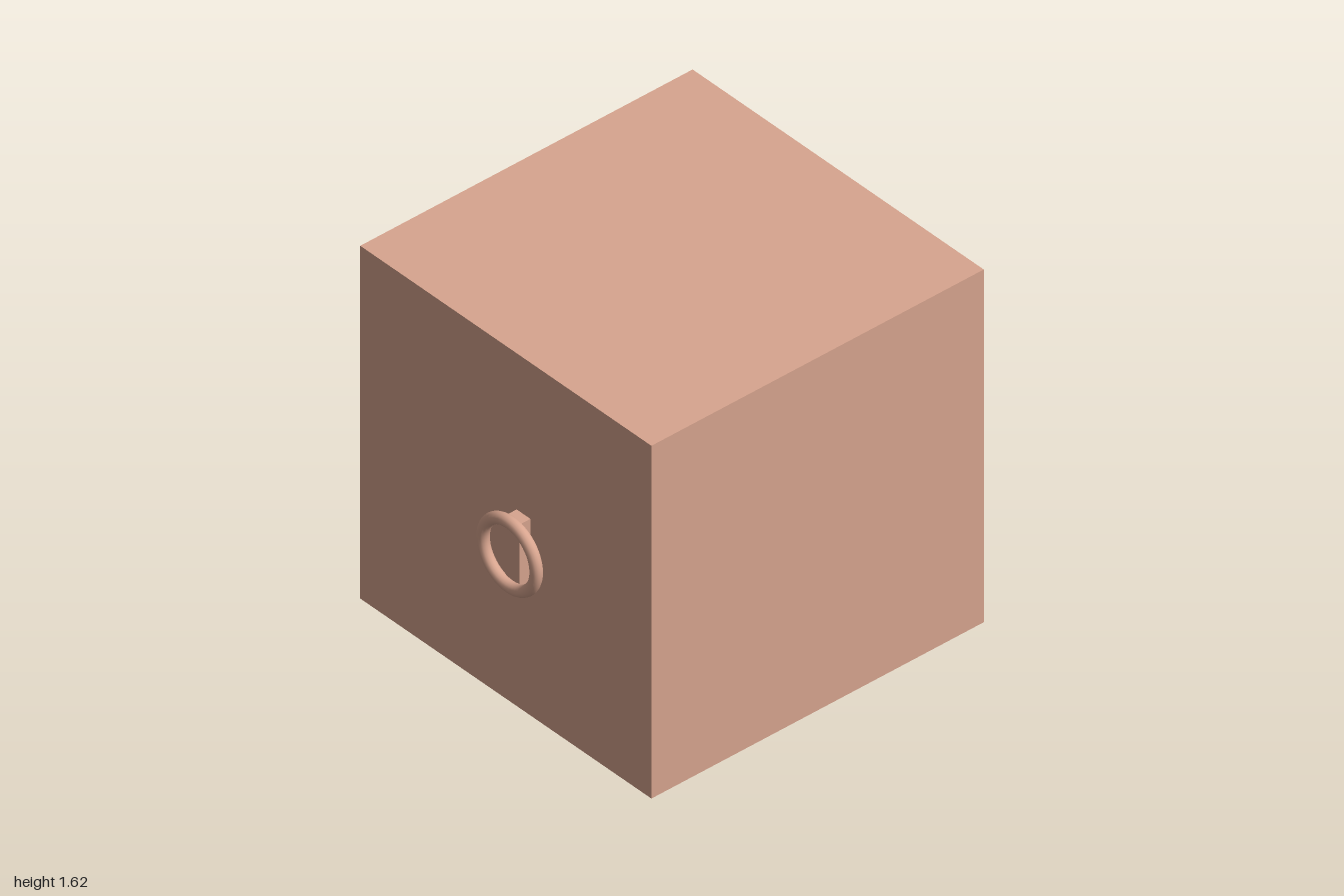
import * as THREE from 'three';

export function createModel() {
  const model = new THREE.Group();
  const material = new THREE.MeshStandardMaterial({ color: 0xd8a58f });
  const pegMaterial = new THREE.MeshStandardMaterial({ color: 0xd8a58f, flatShading: true });

  const add = (parent, name, geometry, x, y, z, mat = material) => {
    const mesh = new THREE.Mesh(geometry, mat);
    mesh.name = name;
    mesh.position.set(x, y, z);
    parent.add(mesh);
    return mesh;
  };

  // Large block, off-centre in x because of the detached knob
  add(model, 'block', new THREE.BoxGeometry(1.615, 1.615, 1.61), -0.1, 0.8075, 0);

  // Knob: outward ring, upright bar and four small pegs facing inward
  const ringGeometry = new THREE.TorusGeometry(0.147, 0.025, 16, 48).rotateY(Math.PI / 2);
  const barGeometry = new THREE.BoxGeometry(0.115, 0.3, 0.076);
  const pegGeometry = new THREE.CylinderGeometry(0.033, 0.033, 0.07, 8).rotateZ(Math.PI / 2);

  for (const side of [1, -1]) {
    const knob = new THREE.Group();
    knob.name = side > 0 ? 'leftKnob' : 'rightKnob';
    knob.position.set(side * 0.975, 0.75, 0.098);
    add(knob, 'ring', ringGeometry, 0, 0, 0);
    add(knob, 'bar', barGeometry, side * -0.0725, 0, 0);
    for (const y of [-0.095, 0.095]) {
      for (const z of [-0.026, 0.026]) {
        add(knob, 'peg', pegGeometry, side * -0.13, y, z, pegMaterial);
      }
    }
    model.add(knob);
  }
  return model;
}
